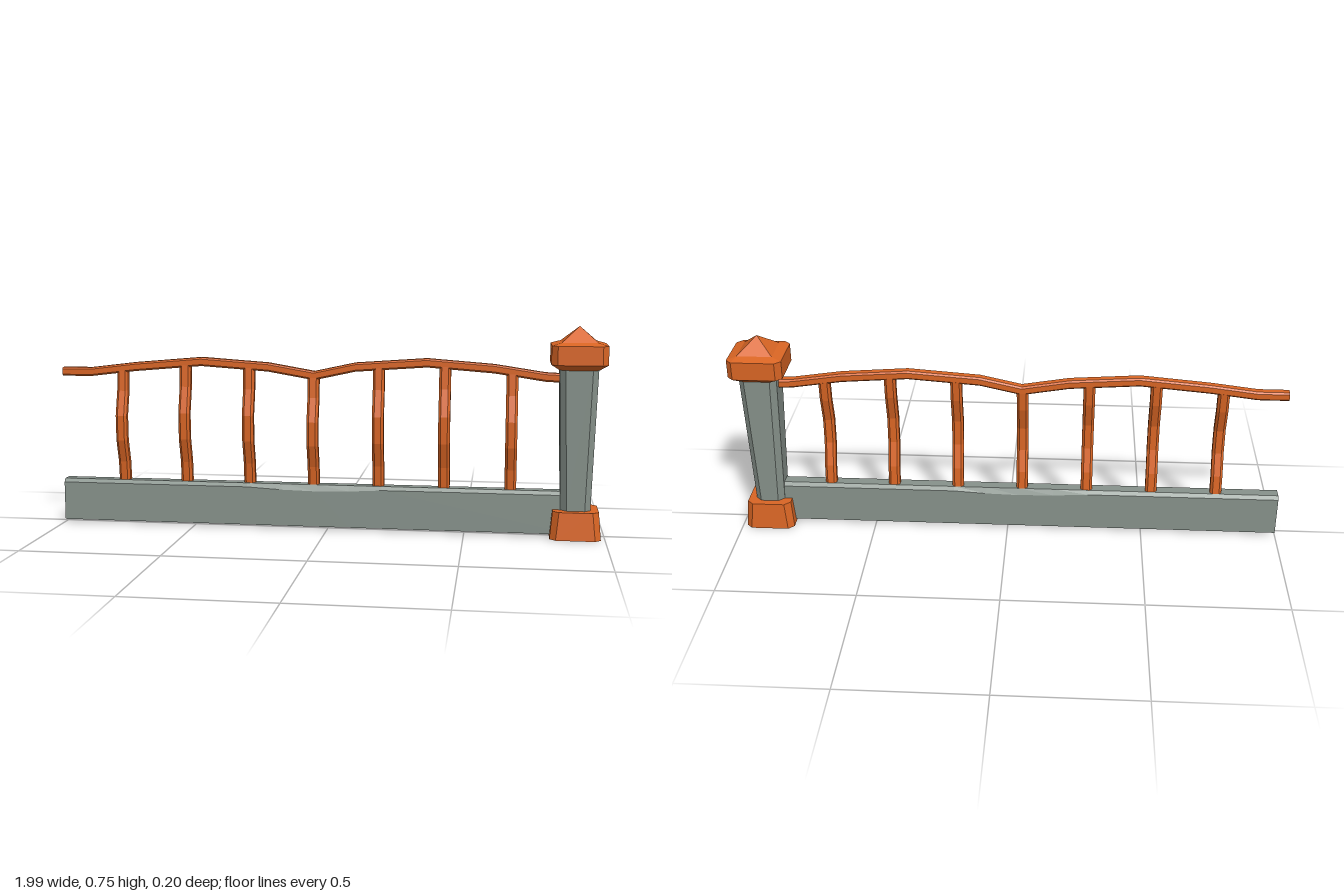
import * as THREE from 'three';

const orange = new THREE.MeshStandardMaterial({ color: 0xd96524, side: THREE.DoubleSide });
orange.name = 'orange';
const stone = new THREE.MeshStandardMaterial({ color: 0x87928b, side: THREE.DoubleSide });
stone.name = 'greyStone';

// Chamfered rectangle, counterclockwise in (u, v)
function section(hu, hv, c) {
  return [[hu, c - hv], [hu, hv - c], [hu - c, hv], [c - hu, hv],
    [-hu, hv - c], [-hu, c - hv], [c - hu, -hv], [hu - c, -hv]];
}

// Faceted skin through rings of points, with optional end caps
function loft(rings, { closed = true, start = false, end = false } = {}) {
  const pos = [];
  const tri = (a, b, c) => pos.push(...a, ...b, ...c);
  const n = rings[0].length;
  for (let r = 0; r < rings.length - 1; r++) {
    for (let i = 0; i < (closed ? n : n - 1); i++) {
      const j = (i + 1) % n;
      const a = rings[r][i], b = rings[r][j], c = rings[r + 1][j], d = rings[r + 1][i];
      tri(a, b, c);
      tri(a, c, d);
    }
  }
  const cap = (ring, flip) => {
    for (let i = 1; i < n - 1; i++) {
      if (flip) tri(ring[0], ring[i + 1], ring[i]);
      else tri(ring[0], ring[i], ring[i + 1]);
    }
  };
  if (start) cap(rings[0], true);
  if (end) cap(rings[rings.length - 1], false);
  const g = new THREE.BufferGeometry();
  g.setAttribute('position', new THREE.Float32BufferAttribute(pos, 3));
  g.computeVertexNormals();
  return g;
}

function add(parent, name, geometry, material) {
  const mesh = new THREE.Mesh(geometry, material);
  mesh.name = name;
  parent.add(mesh);
  return mesh;
}

// Upright loft from [y, halfWidth, chamfer] levels
function column(levels, caps) {
  return loft(levels.map(([y, h, c]) => section(h, h, c).map(([u, v]) => [v, y, u])), caps);
}

export function createModel() {
  const model = new THREE.Group();
  model.name = 'fence';

  // Post: flared foot, widening shaft and pyramid cap
  const post = new THREE.Group();
  post.name = 'post';
  post.position.x = 0.895;
  model.add(post);
  add(post, 'postFoot', column([[0, 0.09, 0.021], [0.1, 0.081, 0.022]], { end: true }), orange);
  add(post, 'postShaft', column([[0.1, 0.053, 0.021], [0.605, 0.068, 0.021]]), stone);
  add(post, 'postCap', column([
    [0.603, 0.069, 0.021], [0.623, 0.098, 0.021], [0.69, 0.098, 0.021],
    [0.7, 0.063, 0], [0.755, 0, 0],
  ], { start: true }), orange);

  // Low wall: hollow channel, its bevel worn lower near the middle
  const wallRings = [[-1, 0], [-0.3, 0], [-0.17, 0.007], [-0.04, 0.01], [0.08, 0.007], [0.2, 0], [0.89, 0]]
    .map(([x, dip]) => [
      [0.01, -0.031], [0.152 - dip, -0.031], [0.165, -0.02],
      [0.165, 0.02], [0.152 - dip, 0.031], [0.01, 0.031],
    ].map(([y, z]) => [x, y, z]));
  add(model, 'lowWall', loft(wallRings, { closed: false }), stone);

  // Handrail: two shallow arches
  const railPath = [[-1, 0.569], [-0.89, 0.569], [-0.72, 0.59], [-0.47, 0.612], [-0.22, 0.595],
    [-0.05, 0.566], [0.1, 0.599], [0.36, 0.618], [0.6, 0.6], [0.78, 0.573], [0.87, 0.569]];
  const railRings = railPath.map(([x, y]) =>
    section(0.016, 0.018, 0.006).map(([u, v]) => [x, y + u, v]));
  add(model, 'handrail', loft(railRings, { start: true, end: true }), orange);

  // Balusters: bowed towards the front, reaching from wall to rail
  const railHeight = (x) => {
    const i = railPath.findIndex((p) => p[0] > x);
    const [x0, y0] = railPath[i - 1], [x1, y1] = railPath[i];
    return y0 + (y1 - y0) * (x - x0) / (x1 - x0);
  };
  const bow = [[0, -0.002], [0.18, 0.005], [0.38, 0.03], [0.6, 0.032], [0.82, 0.006], [1, 0]];
  for (let k = 0; k < 7; k++) {
    const x = -0.77 + k * 0.239;
    const top = railHeight(x) - 0.008;
    const rings = bow.map(([t, z]) =>
      section(0.018, 0.021, 0.009).map(([u, v]) => [x + v, 0.16 + t * (top - 0.16), z + u]));
    add(model, `baluster${k + 1}`, loft(rings), orange);
  }

  return model;
}
